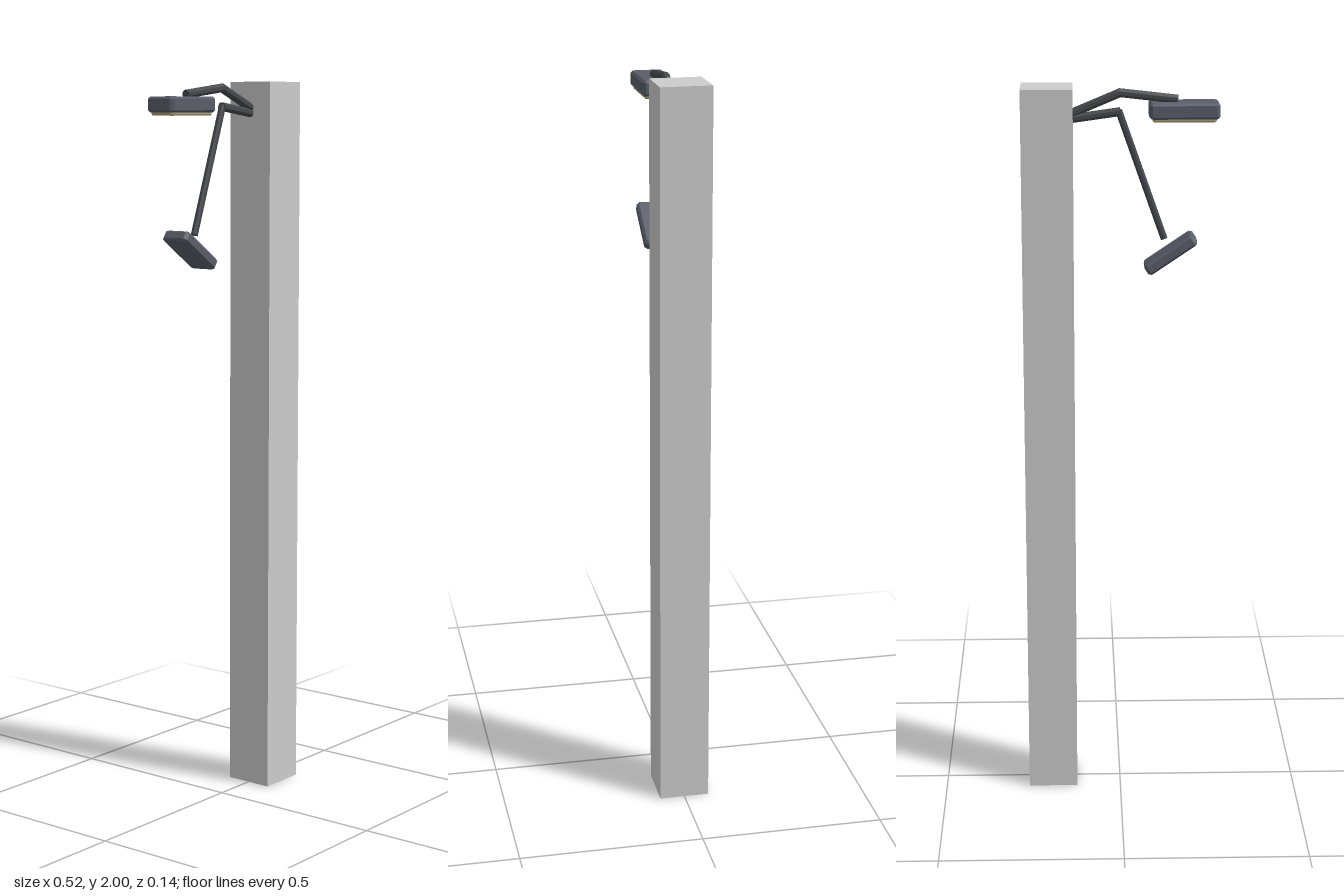
import * as THREE from 'three';

const mat = (color) => new THREE.MeshStandardMaterial({ color, flatShading: true });

export function createModel() {
  const model = new THREE.Group();
  const grey = mat(0xcccccc);
  const armMat = mat(0x45484c);
  const headMat = mat(0x595d68);
  const panelMat = mat(0xa89e78);

  const add = (name, geometry, material, parent = model) => {
    const mesh = new THREE.Mesh(geometry, material);
    mesh.name = name;
    parent.add(mesh);
    return mesh;
  };

  // flat slab lying in xz, centred, with cut corners and chamfered edges
  const slab = (length, height, width, corner, bevel) => {
    const a = length / 2 - bevel, b = width / 2 - bevel, c = corner;
    const shape = new THREE.Shape([
      [-a + c, -b], [a - c, -b], [a, -b + c], [a, b - c],
      [a - c, b], [-a + c, b], [-a, b - c], [-a, -b + c],
    ].map(([x, y]) => new THREE.Vector2(x, y)));
    return new THREE.ExtrudeGeometry(shape, {
      depth: height - 2 * bevel, bevelEnabled: true,
      bevelSize: bevel, bevelThickness: bevel, bevelSegments: 1,
    }).translate(0, 0, bevel - height / 2).rotateX(-Math.PI / 2);
  };

  // square post, bored out from below and closed on top
  const side = 0.1375, s = side / 2, capHeight = 0.05;
  const post = new THREE.Group();
  post.name = 'post';
  post.position.x = 0.193;
  model.add(post);
  const section = new THREE.Shape([
    new THREE.Vector2(-s, -s), new THREE.Vector2(s, -s),
    new THREE.Vector2(s, s), new THREE.Vector2(-s, s),
  ]);
  section.holes.push(new THREE.Path().absarc(0, 0, 0.043, 0, Math.PI * 2, true));
  add('postShaft', new THREE.ExtrudeGeometry(section, {
    depth: 2 - capHeight, bevelEnabled: false, curveSegments: 16,
  }).rotateX(-Math.PI / 2), grey, post);
  add('postCap', new THREE.BoxGeometry(side, capHeight, side), grey, post)
    .position.y = 2 - capHeight / 2;

  // eight-sided rod between two points of the z = 0 plane
  const rod = (name, [x0, y0], [x1, y1], radius) => {
    const length = Math.hypot(x1 - x0, y1 - y0);
    const geometry = new THREE.CylinderGeometry(radius, radius, length, 8).rotateY(Math.PI / 8);
    const mesh = add(name, geometry, armMat);
    mesh.position.set((x0 + x1) / 2, (y0 + y1) / 2, 0);
    mesh.rotation.z = Math.atan2(y1 - y0, x1 - x0) - Math.PI / 2;
  };

  // bent arms
  rod('upperArmRoot', [0.135, 1.926], [-0.002, 1.983], 0.012);
  rod('upperArmTip', [0.004, 1.983], [-0.153, 1.965], 0.012);
  rod('lowerArmRoot', [0.135, 1.914], [-0.002, 1.933], 0.012);
  rod('lowerArmTip', [0.003, 1.936], [-0.119, 1.592], 0.01);

  // lamp head with its light panel underneath
  const lamp = new THREE.Group();
  lamp.name = 'lampHead';
  lamp.position.set(-0.17, 1.938, 0);
  model.add(lamp);
  add('lampHousing', slab(0.186, 0.042, 0.09, 0.005, 0.006), headMat, lamp);
  add('lightPanel', slab(0.168, 0.014, 0.076, 0.004, 0.003), panelMat, lamp)
    .position.y = -0.022;

  // tilted lower head
  const lower = add('lowerHead', slab(0.157, 0.031, 0.084, 0.005, 0.006), headMat);
  lower.position.set(-0.136, 1.553, 0);
  lower.rotation.z = -0.595;

  return model;
}
